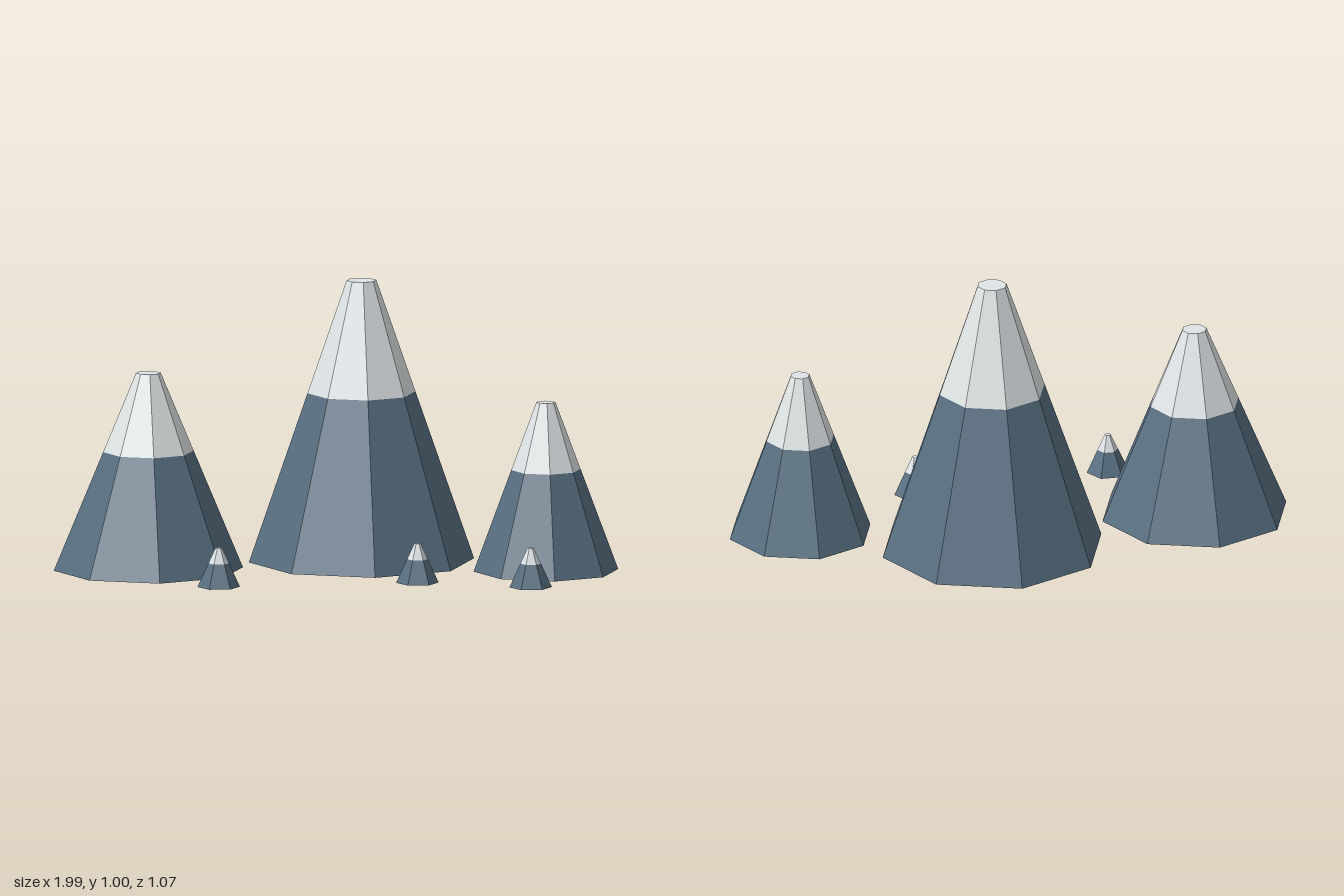
import * as THREE from 'three';

const rock = new THREE.MeshStandardMaterial({ color: 0x576f81, flatShading: true });
rock.name = 'slate rock';
const snow = new THREE.MeshStandardMaterial({ color: 0xdfe4e6, flatShading: true });
snow.name = 'snow';

const SNOW_LINE = 0.6; // share of the height where the snow begins

// Faceted solid from a bottom-to-top profile of [radius, height] pairs
function facetedMesh(name, profile, sides, material) {
  const points = profile.map(([r, y]) => new THREE.Vector2(r, y));
  const mesh = new THREE.Mesh(new THREE.LatheGeometry(points, sides), material);
  mesh.name = name;
  return mesh;
}

// Truncated cone: rock slopes below, snow cap above
function makePeak({ name, x, z, radius, topRadius, height, sides, turn }) {
  const peak = new THREE.Group();
  peak.name = name;
  const lineY = height * SNOW_LINE;
  const lineR = THREE.MathUtils.lerp(radius, topRadius, SNOW_LINE);
  peak.add(
    facetedMesh('rockSlopes', [[0, 0], [radius, 0], [lineR, lineY]], sides, rock),
    facetedMesh('snowCap', [[lineR, lineY], [topRadius, height], [0, height]], sides, snow),
  );
  peak.position.set(x, 0, z);
  peak.rotation.y = turn;
  return peak;
}

export function createModel() {
  const model = new THREE.Group();
  model.name = 'mountainRange';

  // Three large eight-sided mountains
  const large = { sides: 8, turn: 0.127 };
  model.add(
    makePeak({ name: 'tallMountain', x: 0.086, z: -0.14, radius: 0.4, topRadius: 0.053, height: 1, ...large }),
    makePeak({ name: 'rightMountain', x: -0.664, z: 0.061, radius: 0.336, topRadius: 0.044, height: 0.7, ...large }),
    makePeak({ name: 'leftMountain', x: 0.738, z: 0.081, radius: 0.257, topRadius: 0.034, height: 0.6, ...large }),
  );

  // Three small six-sided foothills in front
  for (const [name, x, z] of [['rightFoothill', -0.413, 0.464], ['middleFoothill', 0.287, 0.364], ['leftFoothill', 0.687, 0.464]]) {
    model.add(makePeak({ name, x, z, radius: 0.075, topRadius: 0.011, height: 0.14, sides: 6, turn: 0.59 }));
  }
  return model;
}
